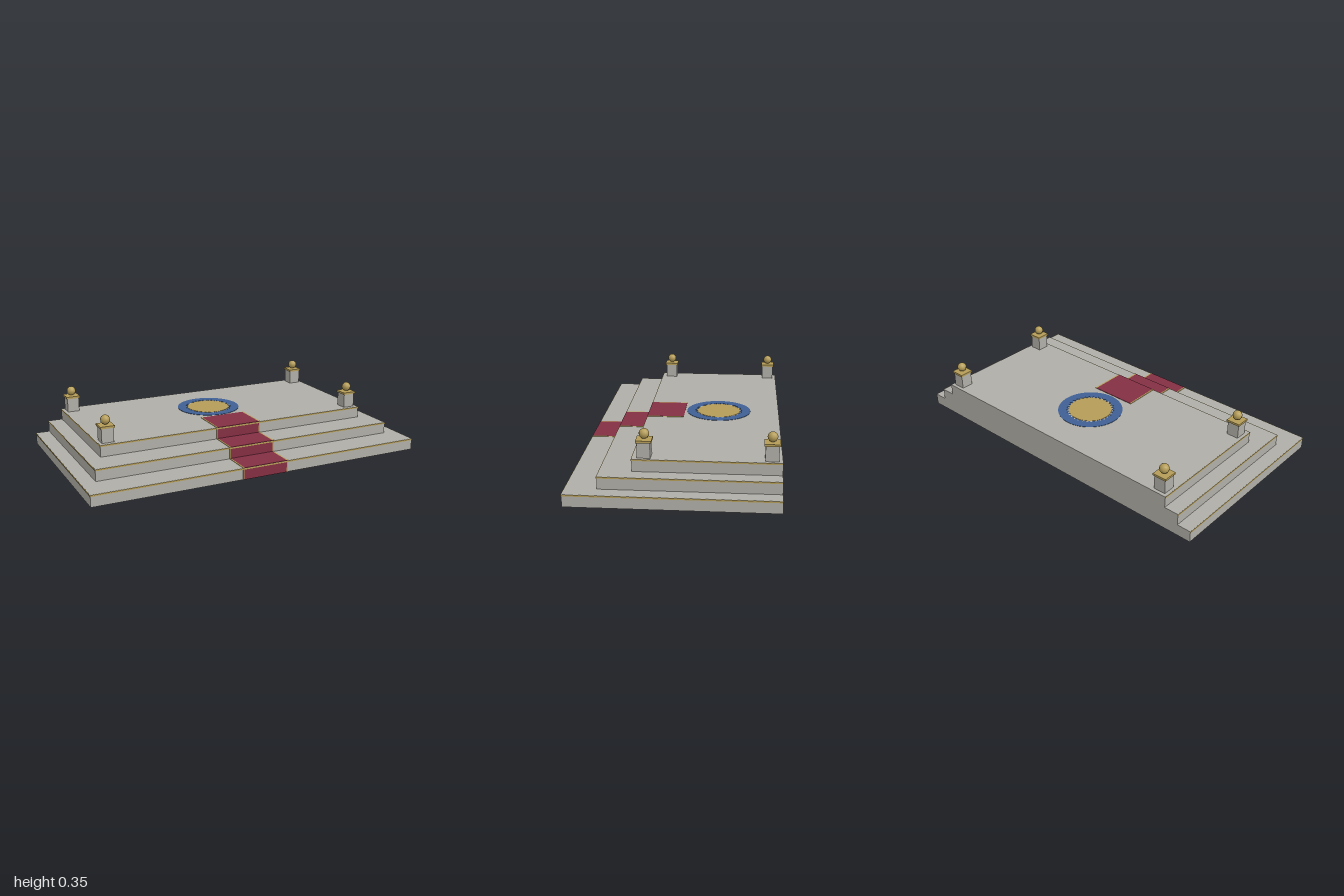
import * as THREE from 'three';

const mat = (name, color, extra = {}) => Object.assign(new THREE.MeshStandardMaterial({ color, ...extra }), { name });

export function createModel() {
  const stone = mat('stone', 0xb0aea7);
  const gold = mat('gold', 0xb59d58);
  const goldFacet = gold;
  const crimson = mat('crimson', 0x842f43);
  const blue = mat('blue', 0x3f6094);

  const model = new THREE.Group();
  model.name = 'steppedDais';
  const add = (parent, name, geometry, material, x = 0, y = 0, z = 0) => {
    const mesh = new THREE.Mesh(geometry, material);
    mesh.name = name;
    mesh.position.set(x, y, z);
    parent.add(mesh);
    return mesh;
  };
  const box = (parent, name, m, w, h, d, x, y, z) =>
    add(parent, name, new THREE.BoxGeometry(w, h, d), m, x, y, z);

  // Three stacked slabs sharing a flush back face
  const back = -0.55, rise = 0.2 / 3, trim = 0.003, trimH = 0.008;
  const steps = [
    { half: 0.998, front: 0.547 },
    { half: 0.917, front: 0.383 },
    { half: 0.833, front: 0.217 },
  ];
  steps.forEach(({ half, front }, i) => {
    const g = new THREE.Group();
    g.name = `step${i + 1}`;
    const depth = front - back, zc = (front + back) / 2;
    box(g, 'slab', stone, half * 2, rise, depth, 0, rise * (i + 0.5), zc);
    // Gold nosing along the front and both sides
    const y = rise * (i + 1) - trimH / 2 - 0.0005;
    box(g, 'frontNosing', gold, (half + 0.002) * 2, trimH, trim, 0, y, front + trim / 2);
    for (const s of [-1, 1])
      box(g, 'sideNosing', gold, 0.002, trimH, depth, s * (half + 0.001), y, zc);
    model.add(g);
  });

  // Stair runner: a thin ribbon that follows treads and risers
  const runner = (name, m, width, t, x) => {
    const outer = [[steps[0].front + t, 0]], inner = [[steps[0].front - 0.002, 0]];
    steps.forEach(({ front }, i) => {
      const y = rise * (i + 1);
      const end = i < 2 ? steps[i + 1].front : 0.005;
      outer.push([front + t, y + t], [i < 2 ? end + t : end, y + t]);
      inner.push([front - 0.002, y - 0.002], [i < 2 ? end - 0.002 : end, y - 0.002]);
    });
    const shape = new THREE.Shape([...outer, ...inner.reverse()].map(([z, y]) => new THREE.Vector2(z, y)));
    const geo = new THREE.ExtrudeGeometry(shape, { depth: width, bevelEnabled: false });
    geo.translate(0, 0, -width / 2).rotateY(-Math.PI / 2);
    add(model, name, geo, m, x);
  };
  runner('carpet', crimson, 0.264, 0.0025, 0);
  for (const s of [-1, 1]) runner('carpetBorder', gold, 0.008, 0.0025, s * 0.136);

  // Floor medallion: blue ring with a toothed inner edge around a gold disc
  const ring = new THREE.Shape().absarc(0, 0, 0.188, 0, Math.PI * 2);
  const teeth = [];
  for (let i = 0; i < 64; i++) {
    const a = (i / 64) * Math.PI * 2, r = i % 2 ? 0.126 : 0.14;
    teeth.push(new THREE.Vector2(Math.cos(a) * r, Math.sin(a) * r));
  }
  ring.holes.push(new THREE.Path(teeth));
  const ringGeo = new THREE.ExtrudeGeometry(ring, { depth: 0.002, bevelEnabled: false, curveSegments: 48 });
  ringGeo.rotateX(-Math.PI / 2);
  add(model, 'medallionRing', ringGeo, blue, 0, 0.2, -0.195);
  add(model, 'medallionDisc', new THREE.CylinderGeometry(0.126, 0.126, 0.002, 48), gold, 0, 0.201, -0.195);

  // Corner posts with gold caps and ball finials
  for (const x of [-0.78, 0.78]) for (const z of [-0.495, 0.157]) {
    const post = new THREE.Group();
    post.name = 'cornerPost';
    post.position.set(x, 0.2, z);
    box(post, 'postBody', stone, 0.07, 0.082, 0.07, 0, 0.041, 0);
    box(post, 'postCap', gold, 0.082, 0.012, 0.082, 0, 0.088, 0);
    add(post, 'ballFinial', new THREE.SphereGeometry(0.027, 12, 8), goldFacet, 0, 0.122, 0);
    model.add(post);
  }
  return model;
}
